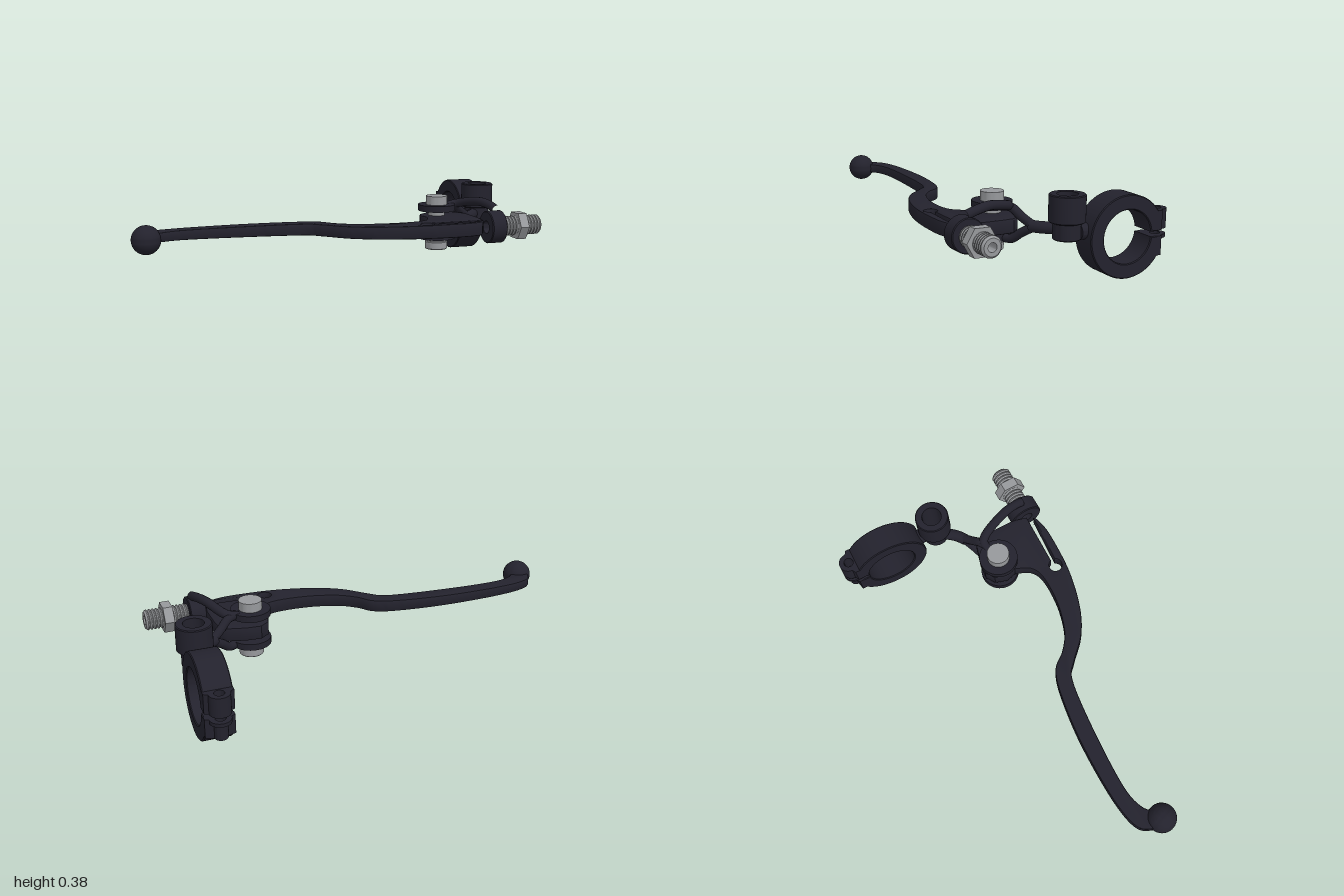
import * as THREE from 'three';
import { toCreasedNormals } from 'three/addons/utils/BufferGeometryUtils.js';

const dark = new THREE.MeshStandardMaterial({ color: 0x23222d });
dark.name = 'black anodised';
const steel = new THREE.MeshStandardMaterial({ color: 0x97999c });
steel.name = 'steel';

const V = (x, y, z) => new THREE.Vector3(x, y, z);
const P = (x, y) => new THREE.Vector2(x, y);

function add(parent, name, geometry, material, x = 0, y = 0, z = 0) {
  const mesh = new THREE.Mesh(toCreasedNormals(geometry, 0.6), material);
  mesh.name = name;
  mesh.position.set(x, y, z);
  parent.add(mesh);
  return mesh;
}

// Upright hollow cylinder standing on y = 0
function pipe(ro, ri, h, bevel = 0.004) {
  return new THREE.LatheGeometry([
    P(ri, 0), P(ro - bevel, 0), P(ro, bevel), P(ro, h - bevel), P(ro - bevel, h), P(ri, h), P(ri, 0),
  ], 40);
}

function disc(r, h, sides = 36) {
  return new THREE.CylinderGeometry(r, r, h, sides).translate(0, h / 2, 0);
}

// Plan shape (x, z) raised to a height
function slab(shape, h, bevel = 0) {
  return new THREE.ExtrudeGeometry(shape, {
    depth: h - 2 * bevel, curveSegments: 20, bevelEnabled: bevel > 0,
    bevelThickness: bevel, bevelSize: bevel, bevelOffset: -bevel, bevelSegments: 2,
  }).rotateX(-Math.PI / 2).translate(0, bevel, 0);
}

function rod(points, r) {
  const path = new THREE.CatmullRomCurve3(points, false, 'centripetal');
  return new THREE.TubeGeometry(path, 24, r, 12);
}

function spline(coords) {
  return new THREE.SplineCurve(coords.map(([x, z]) => P(x, z))).getPoints(60);
}

// Curved hand lever with a slotted tail
function leverGeometry() {
  const back = spline([
    [-0.95, -0.42], [-0.88, -0.475], [-0.72, -0.45], [-0.45, -0.35], [-0.235, -0.24], [-0.14, -0.165],
    [-0.107, -0.08], [-0.05, 0], [0.06, 0.08], [0.19, 0.135], [0.27, 0.135], [0.33, 0.08],
  ]);
  const head = [P(0.335, 0.03), P(0.37, -0.015), P(0.42, -0.028), P(0.48, 0.0),
    P(0.55, 0.05), P(0.565, 0.09), P(0.55, 0.15), P(0.51, 0.26), P(0.47, 0.322)];
  const relief = [];
  for (let i = 0; i <= 24; i++) {
    const a = 0.4 - 0.3 - (i / 24) * (Math.PI * 2 - 0.6);
    relief.push(P(0.2 + 0.03 * Math.cos(a), 0.225 + 0.03 * Math.sin(a)));
  }
  const front = spline([
    [0.445, 0.342], [0.42, 0.348], [0.33, 0.33], [0.14, 0.25], [-0.02, 0.145], [-0.12, 0.04], [-0.18, -0.08],
    [-0.235, -0.155], [-0.45, -0.265], [-0.717, -0.375], [-0.84, -0.392], [-0.9, -0.36],
  ]);
  const outline = [...back, ...head, ...relief, ...front].map((p) => P(p.x, -p.y));
  const geo = slab(new THREE.Shape(outline), 0.066, 0.008).translate(0, -0.033, 0);
  // Thin the blade towards the ball end
  const pos = geo.attributes.position;
  for (let i = 0; i < pos.count; i++) {
    const t = THREE.MathUtils.clamp((pos.getX(i) + 0.9) / 1.2, 0, 1);
    pos.setY(i, pos.getY(i) * (0.66 + 0.34 * t));
  }
  return geo;
}

// Clamp band with a gap, in its own plane
function bandGeometry() {
  const ro = 0.183, ri = 0.118, cut = 0.155, gap = 0.011;
  const a = Math.acos(cut / ro), b = Math.asin(gap / ri);
  const s = new THREE.Shape();
  s.moveTo(cut, gap);
  s.lineTo(cut, ro * Math.sin(a));
  s.absarc(0, 0, ro, a, Math.PI * 2 - a, false);
  s.lineTo(cut, -gap);
  s.absarc(0, 0, ri, Math.PI * 2 - b, b, true);
  s.closePath();
  return new THREE.ExtrudeGeometry(s, {
    depth: 0.117, curveSegments: 48, bevelThickness: 0.004, bevelSize: 0.004, bevelOffset: -0.004, bevelSegments: 1,
  }).translate(0, 0, -0.0585);
}

// Clamp ear with a bolt hole
function earGeometry(r, h) {
  const s = new THREE.Shape(), w = 0.0625, c = 0.182;
  s.moveTo(0.15, -w);
  s.lineTo(0.172, -w);
  s.lineTo(c, -r);
  s.absarc(c, 0, r, -Math.PI / 2, Math.PI / 2, false);
  s.lineTo(0.172, w);
  s.lineTo(0.15, w);
  s.closePath();
  s.holes.push(new THREE.Path().absarc(c, 0, 0.022, 0, Math.PI * 2, true));
  return slab(s, h);
}

export function createModel() {
  const model = new THREE.Group();
  model.name = 'leverAssembly';

  add(model, 'lever', leverGeometry(), dark, 0, 0.226, 0);
  add(model, 'leverBall', new THREE.SphereGeometry(0.066, 36, 24), dark, -0.934, 0.228, -0.37);

  // Pivot: fork plates, bushing and bolt
  const pivot = new THREE.Group();
  pivot.name = 'pivot';
  pivot.position.set(0.412, 0, 0.06);
  model.add(pivot);
  add(pivot, 'lowerForkPlate', disc(0.09, 0.03), dark, 0, 0.145, 0);
  add(pivot, 'upperForkPlate', disc(0.09, 0.03), dark, 0, 0.282, 0);
  add(pivot, 'pivotBolt', disc(0.04, 0.2), steel, 0, 0.12, 0);
  add(pivot, 'boltHead', pipe(0.055, 0.012, 0.04), steel, 0, 0.092, 0);
  add(pivot, 'boltNut', disc(0.052, 0.042), steel, 0, 0.312, 0);

  // Fork arms joining into one strut towards the post
  for (const [name, y] of [['upperForkArm', 0.296], ['lowerForkArm', 0.16]]) {
    add(model, name, rod([V(0.47, y, 0.07), V(0.53, y, 0.065), V(0.58, 0.228 + (y - 0.228) * 0.5, 0.057),
      V(0.64, 0.228, 0.045)], 0.02), dark);
  }
  add(model, 'strut', rod([V(0.62, 0.228, 0.05), V(0.67, 0.228, 0.035), V(0.73, 0.228, 0.0)], 0.027), dark);

  // Hollow post
  add(model, 'post', pipe(0.079, 0.046, 0.12), dark, 0.765, 0.26, -0.013);
  add(model, 'postBase', pipe(0.06, 0.046, 0.08), dark, 0.765, 0.185, -0.013);
  const neck = disc(0.035, 0.06).rotateX(-Math.PI / 2);
  add(model, 'clampNeck', neck, dark, 0.795, 0.215, -0.055).rotation.y = -0.37;

  // Handlebar clamp
  const clamp = new THREE.Group();
  clamp.name = 'handlebarClamp';
  clamp.position.set(0.87, 0.184, -0.248);
  clamp.rotation.y = 1.2;
  model.add(clamp);
  add(clamp, 'clampBand', bandGeometry(), dark);
  add(clamp, 'upperEar', earGeometry(0.045, 0.087), dark, 0, 0.014, 0);
  add(clamp, 'lowerEar', earGeometry(0.045, 0.016), dark, 0, -0.027, 0);
  add(clamp, 'lowerEarRoot', earGeometry(0.028, 0.07), dark, 0, -0.097, 0);

  // Cable adjuster, built along its own x axis
  add(model, 'adjusterArm', rod([V(0.48, 0.297, 0.06), V(0.525, 0.308, 0.08), V(0.54, 0.331, 0.22),
    V(0.535, 0.322, 0.3), V(0.525, 0.308, 0.35)], 0.021), dark);
  const adjuster = new THREE.Group();
  adjuster.name = 'cableAdjuster';
  adjuster.position.set(0.515, 0.226, 0.345);
  adjuster.rotation.y = -0.34;
  model.add(adjuster);
  const along = (g) => g.rotateZ(-Math.PI / 2);
  add(adjuster, 'adjusterHolder', along(pipe(0.077, 0.03, 0.076)), dark, -0.038, 0, 0);
  const thread = [P(0.02, 0), P(0.038, 0)];
  for (let i = 0; i < 14; i++) {
    const t = 0.01 + i * 0.016;
    thread.push(P(0.039, t), P(0.047, t + 0.005), P(0.047, t + 0.01));
  }
  thread.push(P(0.038, 0.237), P(0.02, 0.237), P(0.02, 0));
  add(adjuster, 'adjusterScrew', along(new THREE.LatheGeometry(thread, 28)), steel);
  add(adjuster, 'lockNut', along(disc(0.071, 0.044, 6)), steel, 0.112, 0, 0);

  return model;
}
